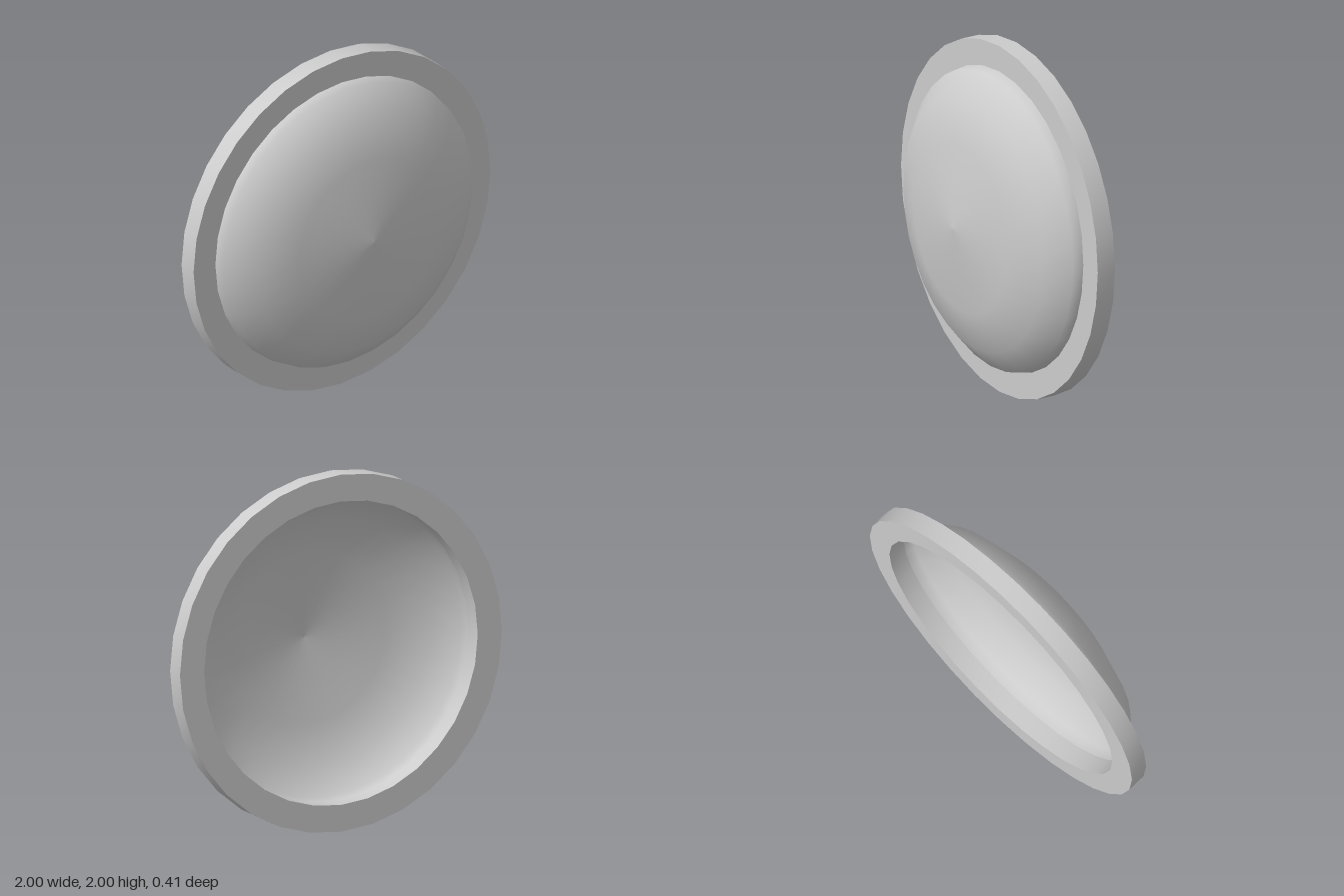
import * as THREE from 'three';
import { toCreasedNormals } from 'three/addons/utils/BufferGeometryUtils.js';

const SEGMENTS = 32;

// Turns a [radius, z] profile around the z axis, centred at y = 1
function turned(name, profile, creased, side) {
  const points = profile.map(([r, z]) => new THREE.Vector2(r, z));
  let geometry = new THREE.LatheGeometry(points, SEGMENTS);
  geometry.rotateX(Math.PI / 2);
  geometry.translate(0, 1, 0);
  if (creased) geometry = toCreasedNormals(geometry, 0.6);
  const mesh = new THREE.Mesh(geometry, new THREE.MeshStandardMaterial({ color: 0xcccccc, side }));
  mesh.name = name;
  return mesh;
}

export function createModel() {
  const group = new THREE.Group();
  group.name = 'domedDisc';

  // Flat ring with a square cross-section
  group.add(turned('rim', [
    [0.85, -0.205], [1, -0.205], [1, -0.095], [0.85, -0.095], [0.85, -0.205],
  ], true, THREE.FrontSide));

  // Thin shallow dome, hollow at the back
  group.add(turned('dome', [
    [0.853, -0.095], [0.84, -0.037], [0.71, 0.073], [0.477, 0.158], [0, 0.205],
  ], false, THREE.DoubleSide));

  return group;
}
